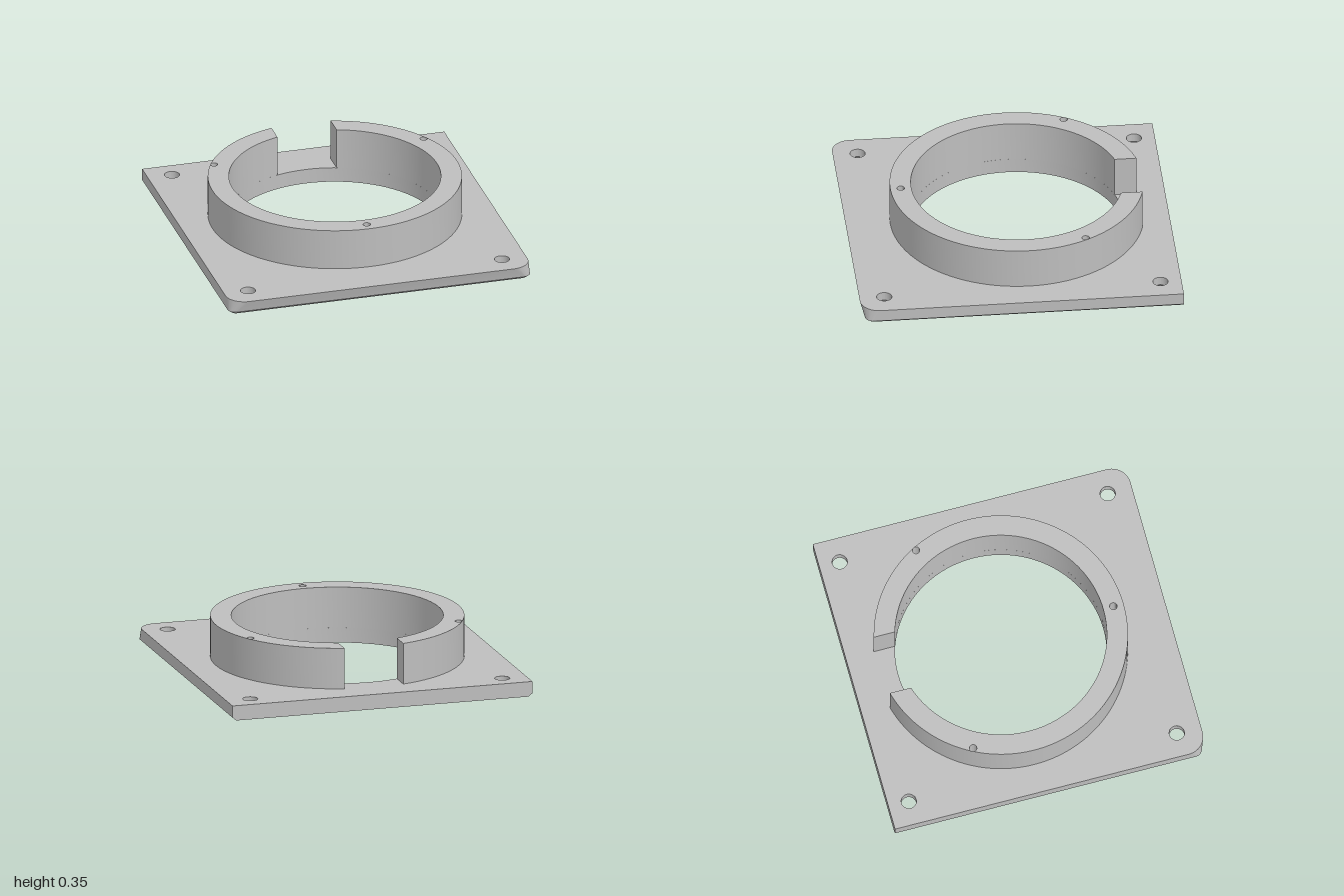
import * as THREE from 'three';
import { toCreasedNormals } from 'three/addons/utils/BufferGeometryUtils.js';

const RING_Z = -0.06, OUTER = 0.785, BORE = 0.655;
const PLATE_TOP = 0.095, RING_TOP = 0.355, GAP = 0.19;
const SCREWS = [[-0.815, -0.87], [0.815, -0.87], [-0.815, 0.845], [0.815, 0.845]];
const SCREW_R = 0.047, SINK_R = 0.085;

// Plate cross-sections from bottom to top: half width, front z, front corner radius
const LEVELS = [
  { y: 0, w: 0.945, front: 0.95, r: 0.03 },
  { y: 0.02, w: 0.97, front: 0.975, r: 0.05 },
  { y: PLATE_TOP, w: 0.97, front: 1, r: 0.12 },
];

// Plate outline as [x, z], square at the back and rounded at the front
function outline({ w, front, r }) {
  const pts = [[w, -1], [-w, -1]];
  for (const side of [-1, 1]) {
    for (let i = 0; i <= 12; i++) {
      const a = (side < 0 ? Math.PI : Math.PI * 1.5) + (i / 12) * Math.PI / 2;
      pts.push([side * (w - r) + r * Math.cos(a), front - r - r * Math.sin(a)]);
    }
  }
  return pts;
}

function circle(x, y, r) {
  return new THREE.Path().absarc(x, y, r, 0, Math.PI * 2, true);
}

// Flat plate face with its holes; s = 1 faces up, s = -1 faces down
function plateFace(level, s, screwR) {
  const shape = new THREE.Shape(outline(level).map(([x, z]) => new THREE.Vector2(x, -s * z)));
  shape.holes.push(circle(0, -s * RING_Z, BORE));
  for (const [x, z] of SCREWS) shape.holes.push(circle(x, -s * z, screwR));
  return new THREE.ShapeGeometry(shape, 48).rotateX(-s * Math.PI / 2).translate(0, level.y, 0);
}

// Plate edge lofted through the cross-sections
function plateEdge() {
  const pos = [];
  for (let k = 0; k < LEVELS.length - 1; k++) {
    const lo = outline(LEVELS[k]), hi = outline(LEVELS[k + 1]);
    lo.forEach((p, i) => {
      const j = (i + 1) % lo.length;
      const a = [lo[i][0], LEVELS[k].y, lo[i][1]], b = [lo[j][0], LEVELS[k].y, lo[j][1]];
      const c = [hi[i][0], LEVELS[k + 1].y, hi[i][1]], d = [hi[j][0], LEVELS[k + 1].y, hi[j][1]];
      pos.push(...a, ...b, ...d, ...a, ...d, ...c);
    });
  }
  const g = new THREE.BufferGeometry();
  g.setAttribute('position', new THREE.Float32BufferAttribute(pos, 3));
  return toCreasedNormals(g, 0.4);
}

// Inward-facing hole wall from [radius, y] points listed top to bottom
function holeWall(points, segments) {
  const g = new THREE.LatheGeometry(points.map(([r, y]) => new THREE.Vector2(r, y)), segments);
  return toCreasedNormals(g, 0.5);
}

// Raised collar, open at the back, with three small pin holes
function collarGeometry() {
  const cy = -RING_Z;
  const ao = Math.acos(GAP / OUTER), ai = Math.acos(GAP / BORE);
  const shape = new THREE.Shape();
  shape.absarc(0, cy, OUTER, Math.PI - ao, Math.PI * 2 + ao, false);
  shape.absarc(0, cy, BORE, ai, Math.PI - ai, true);
  shape.closePath();
  for (let i = 0; i < 3; i++) {
    const a = -Math.PI / 2 + i * Math.PI * 2 / 3;
    shape.holes.push(circle(0.72 * Math.cos(a) * 1.08, cy + 0.72 * Math.sin(a), 0.023));
  }
  const g = new THREE.ExtrudeGeometry(shape, {
    depth: RING_TOP - PLATE_TOP, bevelEnabled: false, curveSegments: 96,
  });
  return toCreasedNormals(g.rotateX(-Math.PI / 2).translate(0, PLATE_TOP, 0), 0.5);
}

export function createModel() {
  const model = new THREE.Group();
  model.name = 'flangeMount';
  const grey = new THREE.MeshStandardMaterial({ color: 0xbdbdbd });
  grey.name = 'plain grey';

  const add = (name, geometry, x = 0, z = 0) => {
    const mesh = new THREE.Mesh(geometry, grey);
    mesh.name = name;
    mesh.position.set(x, 0, z);
    model.add(mesh);
  };

  // Base plate
  add('plateTop', plateFace(LEVELS[2], 1, SCREW_R));
  add('plateBottom', plateFace(LEVELS[0], -1, SINK_R));
  add('plateEdge', plateEdge());
  add('plateBore', holeWall([[BORE, PLATE_TOP], [BORE, 0]], 96), 0, RING_Z);

  // Screw holes, countersunk from below
  const screwHole = holeWall([[SCREW_R, PLATE_TOP], [SCREW_R, 0.04], [SINK_R, 0]], 48);
  for (const [x, z] of SCREWS) add('screwHole', screwHole, x, z);

  // Collar
  add('collar', collarGeometry());
  return model;
}
